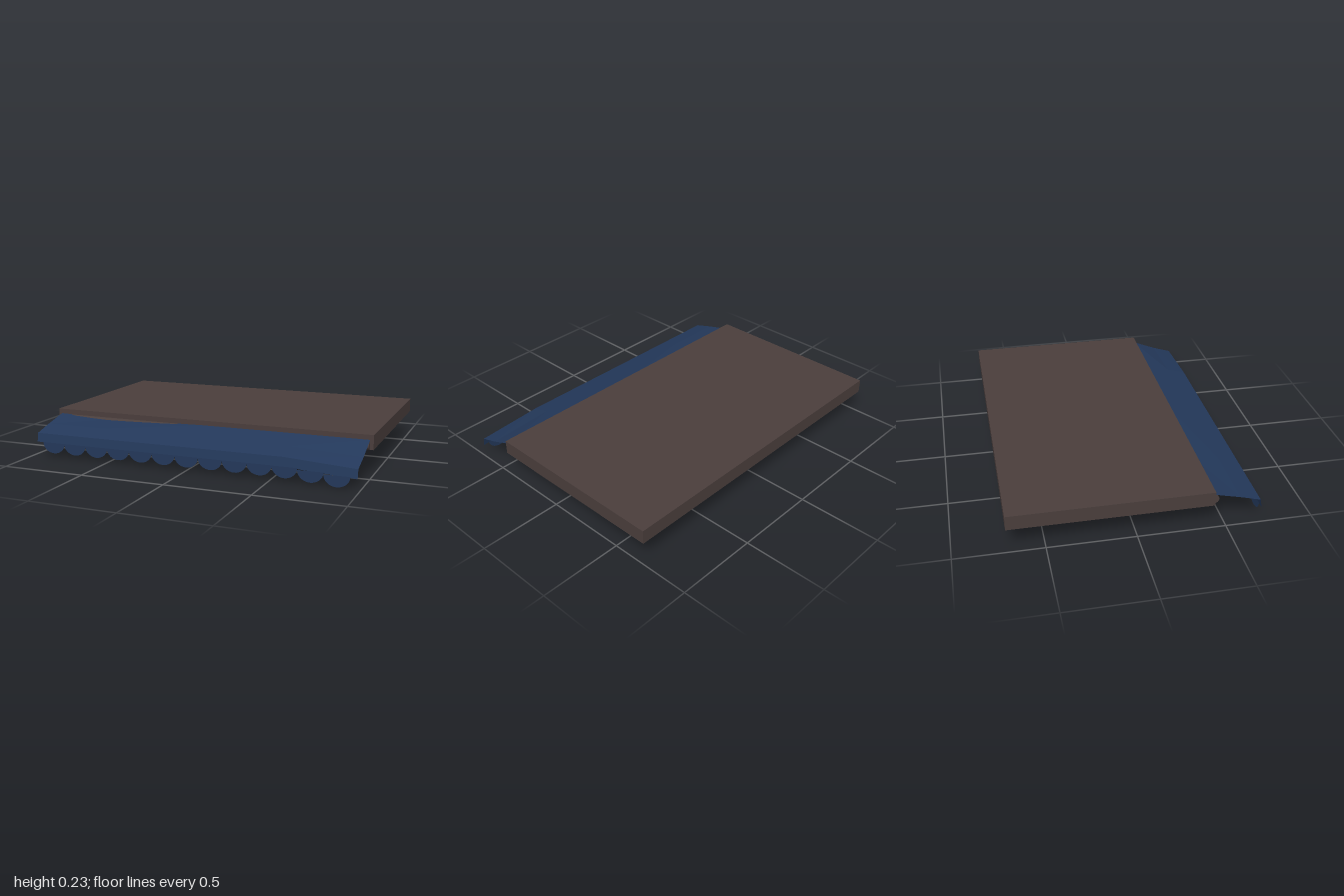
import * as THREE from 'three';

const fabric = new THREE.MeshStandardMaterial({ name: 'navy fabric', color: 0x23385a, side: THREE.DoubleSide });
const casing = new THREE.MeshStandardMaterial({ name: 'dark brown casing', color: 0x4a3e3c });

// The cloth hangs lower towards its left end
const droop = (x) => Math.max(0, (x - 0.57) / 0.41) * 0.027;

// Faceted strip of cloth: one cross-section of [y, z] points per x station
function clothStrip(stations, section) {
  const positions = [];
  const index = [];
  const rows = section(0).length;
  stations.forEach((x, i) => {
    section(x).forEach(([y, z], j) => {
      positions.push(x, y, z);
      if (i < stations.length - 1 && j < rows - 1) {
        const a = i * rows + j;
        const b = a + rows;
        index.push(a, a + 1, b, b, a + 1, b + 1);
      }
    });
  });
  const indexed = new THREE.BufferGeometry();
  indexed.setAttribute('position', new THREE.Float32BufferAttribute(positions, 3));
  indexed.setIndex(index);
  const geometry = indexed.toNonIndexed();
  geometry.computeVertexNormals();
  return geometry;
}

export function createModel() {
  const group = new THREE.Group();
  group.name = 'awning';
  const add = (name, geometry, material, x = 0, y = 0, z = 0) => {
    const mesh = new THREE.Mesh(geometry, material);
    mesh.name = name;
    mesh.position.set(x, y, z);
    group.add(mesh);
    return mesh;
  };

  // Flat roof slab
  add('roofSlab', new THREE.BoxGeometry(2, 0.085, 1.14), casing, 0, 0.1925, -0.14);

  // Roller half sunk into the slab's front edge
  const roller = new THREE.CylinderGeometry(0.027, 0.027, 1.96, 24);
  roller.rotateZ(Math.PI / 2);
  add('roller', roller, casing, 0, 0.177, 0.43);

  // Sloping canopy, slightly sagging near the roller on the right
  const stations = [-0.98, -0.6, 0, 0.57, 0.98];
  const canopy = clothStrip(stations, (x) => [
    [x === -0.6 ? 0.198 : 0.208, 0.425],
    [0.17 - droop(x) * 0.85, 0.58],
    [0.137 - droop(x), 0.698],
  ]);
  add('canopy', canopy, fabric);

  // Hanging front border
  const valance = clothStrip(stations, (x) => [
    [0.137 - droop(x), 0.698],
    [0.085 - droop(x), 0.707],
  ]);
  add('valance', valance, fabric);

  // Row of rounded scallops along the border
  const scallop = new THREE.CircleGeometry(0.073, 16, Math.PI, Math.PI);
  scallop.scale(1, 0.87, 1);
  for (let i = 0; i < 13; i++) {
    const x = -0.865 + i * 0.1445;
    add('scallop', scallop, fabric, x, 0.086 - droop(x), 0.708);
  }
  return group;
}
